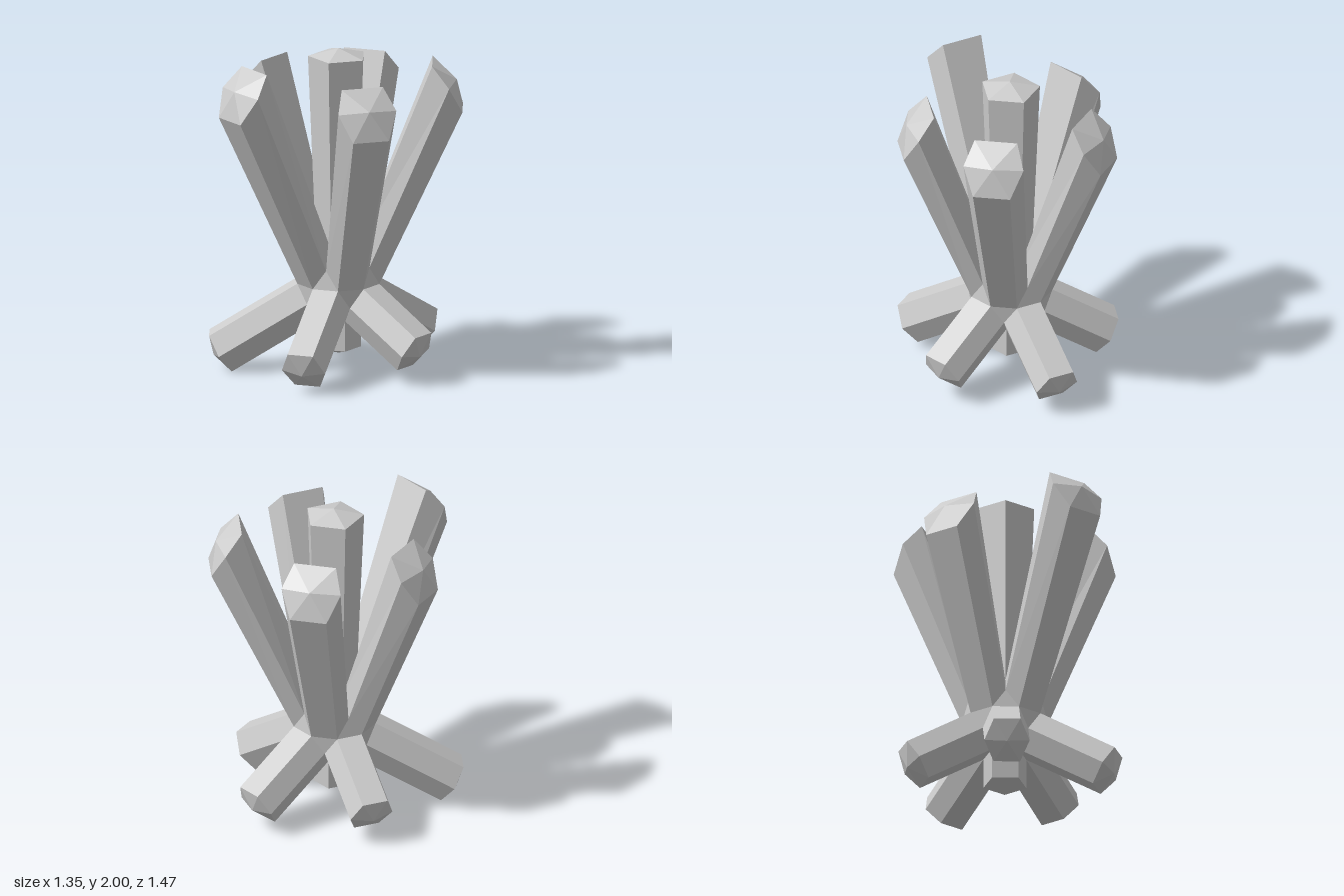
import * as THREE from 'three';

const R = 0.26;                       // core radius
const CY = 0.55, CZ = -0.07;          // core centre
const RAD = Math.PI / 180;
const TILT = 31.717 * RAD;            // slope of the crystal end caps
const RING = 26.565 * RAD;            // latitude of the core's vertex rings

const material = new THREE.MeshStandardMaterial({ color: 0xcccccc, flatShading: true });

// Point on the core: latitude, azimuth (x = cos, z = sin), relative to its centre
const onCore = (lat, az) => new THREE.Vector3(
  R * Math.cos(lat) * Math.cos(az), R * Math.sin(lat), R * Math.cos(lat) * Math.sin(az));

// Faceted prism from a base loop to an end loop, closed by a low pyramid.
// Loops run counter-clockwise seen from the tip.
function crystal(name, base, end, tip, azimuth = 0) {
  const points = [];
  base.forEach((b, i) => {
    const j = (i + 1) % base.length;
    points.push(b, base[j], end[j], b, end[j], end[i], end[i], end[j], tip);
  });
  const geometry = new THREE.BufferGeometry().setFromPoints(points);
  geometry.rotateY(-azimuth);
  geometry.computeVertexNormals();
  const mesh = new THREE.Mesh(geometry, material);
  mesh.name = name;
  return mesh;
}

// Six-point loop, mirrored in z, from three [radius, height, half width] entries
const hexLoop = (rows) => [
  ...rows.map(([r, y, w]) => new THREE.Vector3(r, y, w)),
  ...rows.slice().reverse().map(([r, y, w]) => new THREE.Vector3(r, y, -w)),
];

const shift = (p, d, slope) =>
  p.clone().add(new THREE.Vector3(d * Math.cos(slope), d * Math.sin(slope), 0));

export function createModel() {
  const group = new THREE.Group();
  group.position.set(0, CY, CZ);

  // Core: once-divided icosahedron standing on a vertex
  const coreGeometry = new THREE.IcosahedronGeometry(R, 1);
  coreGeometry.rotateZ(Math.atan(2 / (1 + Math.sqrt(5))));
  coreGeometry.rotateY(Math.PI);
  const core = new THREE.Mesh(coreGeometry, material);
  core.name = 'core';
  group.add(core);

  // Six core points around a tilted crystal's root (upper half)
  const steep = Math.PI / 2 - TILT;
  const root = [[steep, 36], [RING, 36], [0, 18]].map(([lat, az]) => {
    const p = onCore(lat, az * RAD);
    return [p.x, p.y, p.z];
  });

  // Long upper crystals: flared, differing by a push along the cap's normal
  const upperBase = hexLoop(root);
  const upperEnd = hexLoop([
    [0.485, 1.87 - CY, 0.13], [0.588, 1.743 - CY, 0.183], [0.667, 1.58 - CY, 0.113]]);
  const upperTip = new THREE.Vector3(0.632, 1.758 - CY, 0);
  [[36, 0], [108, 0.16], [180, 0], [252, 0], [324, 0.095]].forEach(([az, d]) => {
    group.add(crystal('upperCrystal', upperBase,
      upperEnd.map((p) => shift(p, d, TILT)), shift(upperTip, d, TILT), az * RAD));
  });

  // Short lower crystals: straight, pushed out along the cap's normal
  const lowerBase = hexLoop(root.map(([r, y, w]) => [r, -y, w]).reverse());
  const lowerTip = onCore(-TILT, 0);
  [[0, 0.46], [72, 0.55], [144, 0.625], [216, 0.475], [288, 0.5]].forEach(([az, d]) => {
    group.add(crystal('lowerCrystal', lowerBase,
      lowerBase.map((p) => shift(p, d, -TILT)), shift(lowerTip, d, -TILT), az * RAD));
  });

  // Upright five-sided crystals at the two poles
  const pole = (name, side, startAz, scale, ringY, tipY) => {
    const base = [0, 1, 2, 3, 4].map((i) =>
      onCore(side * steep, (startAz - side * 72 * i) * RAD));
    const end = base.map((p) => new THREE.Vector3(p.x * scale, ringY - CY, p.z * scale));
    group.add(crystal(name, base, end, new THREE.Vector3(0, tipY - CY, 0)));
  };
  pole('topCrystal', 1, 0, 1.35, 1.95, 2.0);
  pole('bottomCrystal', -1, 36, 1, 0.14, 0.1);

  const model = new THREE.Group();
  model.name = 'crystalCluster';
  model.add(group);
  return model;
}
